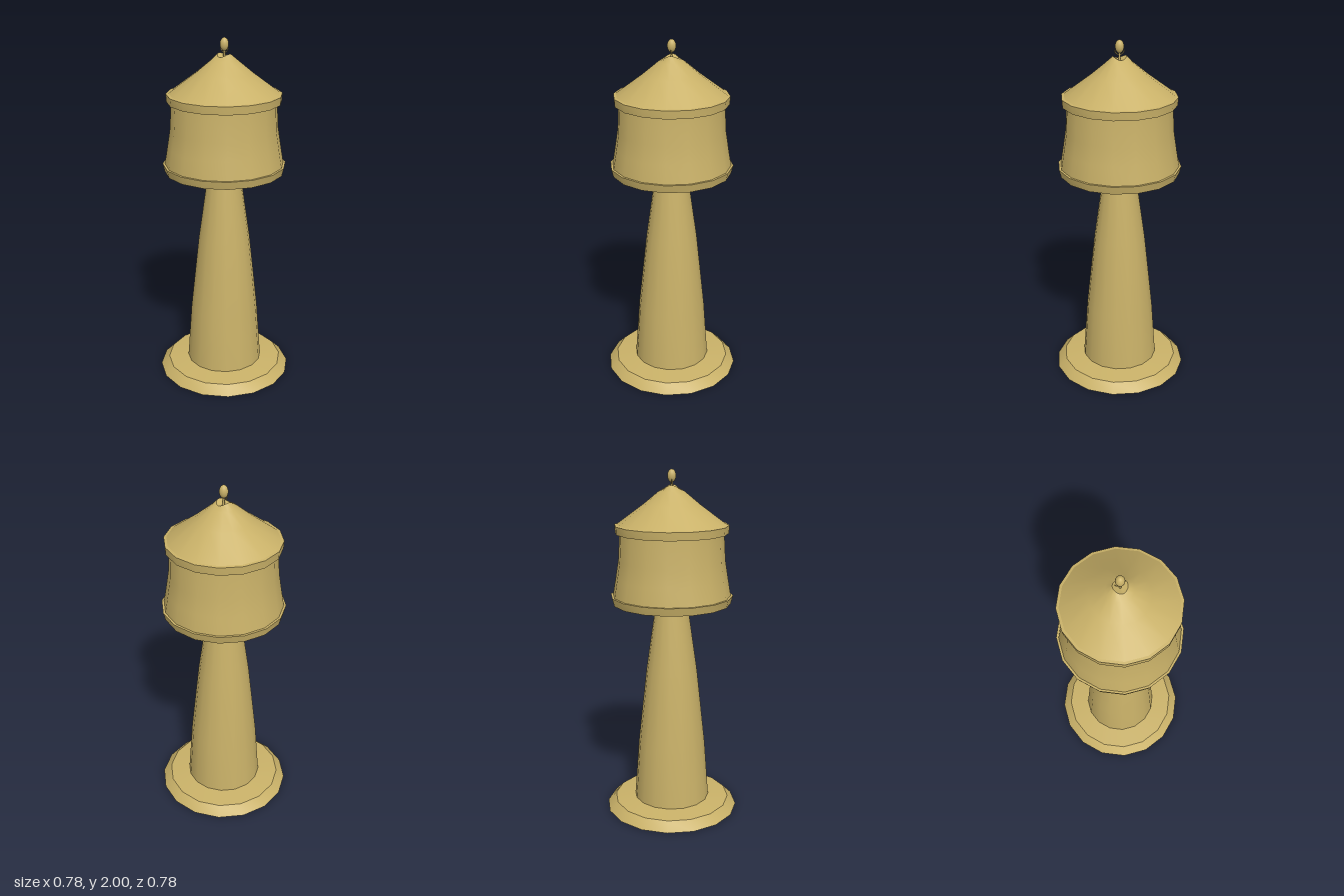
import * as THREE from 'three';
import { toCreasedNormals } from 'three/addons/utils/BufferGeometryUtils.js';

const SIDES = 16;

export function createModel() {
  const group = new THREE.Group();
  const paint = new THREE.MeshStandardMaterial({ color: 0xc9b168, side: THREE.DoubleSide });

  const add = (name, geometry) => {
    const mesh = new THREE.Mesh(geometry, paint);
    mesh.name = name;
    group.add(mesh);
    return mesh;
  };
  // Turned part from [radius, height] pairs, listed bottom to top
  const turned = (profile, adjust) => {
    const geo = new THREE.LatheGeometry(profile.map(([r, y]) => new THREE.Vector2(r, y)), SIDES);
    if (adjust) adjust(geo.attributes.position);
    return toCreasedNormals(geo, 0.6);
  };

  // Flared foot, hollow underneath
  add('base', turned([[0.39, 0], [0.34, 0.05], [0.22, 0.062]]));

  // Tapering hollow column
  add('tower', turned([[0.222, 0.06], [0.197, 0.4], [0.148, 0.85], [0.09, 1.255]]));

  // Tank with flat floor, bottom rim and slightly flared wall
  add('tank', turned([
    [0.085, 1.255], [0.337, 1.255], [0.348, 1.3], [0.335, 1.3],
    [0.318, 1.4], [0.302, 1.5], [0.293, 1.655],
  ]));

  // Overhanging eave band
  add('eave', turned([[0.29, 1.652], [0.318, 1.652], [0.321, 1.697], [0.306, 1.7]]));

  // Concave roof; the top ring is raised to the left and right into a shallow saddle
  add('roof', turned(
    [[0.306, 1.7], [0.157, 1.81], [0.072, 1.88], [0.038, 1.9], [0, 1.89]],
    (pos) => {
      for (let i = 0; i < pos.count; i++) {
        const x = pos.getX(i), r = Math.hypot(x, pos.getZ(i));
        if (r > 0.02 && r < 0.05) pos.setY(i, 1.897 + 0.018 * (x / r) ** 2);
      }
    }));

  // Thin fork carrying the finial
  add('finialFork', new THREE.TorusGeometry(0.026, 0.003, 6, 16, Math.PI))
    .rotation.z = Math.PI;
  group.getObjectByName('finialFork').position.y = 1.946;
  add('finialStem', new THREE.CylinderGeometry(0.006, 0.006, 0.05, 8)).position.y = 1.912;

  // Egg-shaped finial
  const finial = add('finial', new THREE.SphereGeometry(0.024, 16, 12));
  finial.scale.y = 1.5;
  finial.position.y = 1.964;

  return group;
}
